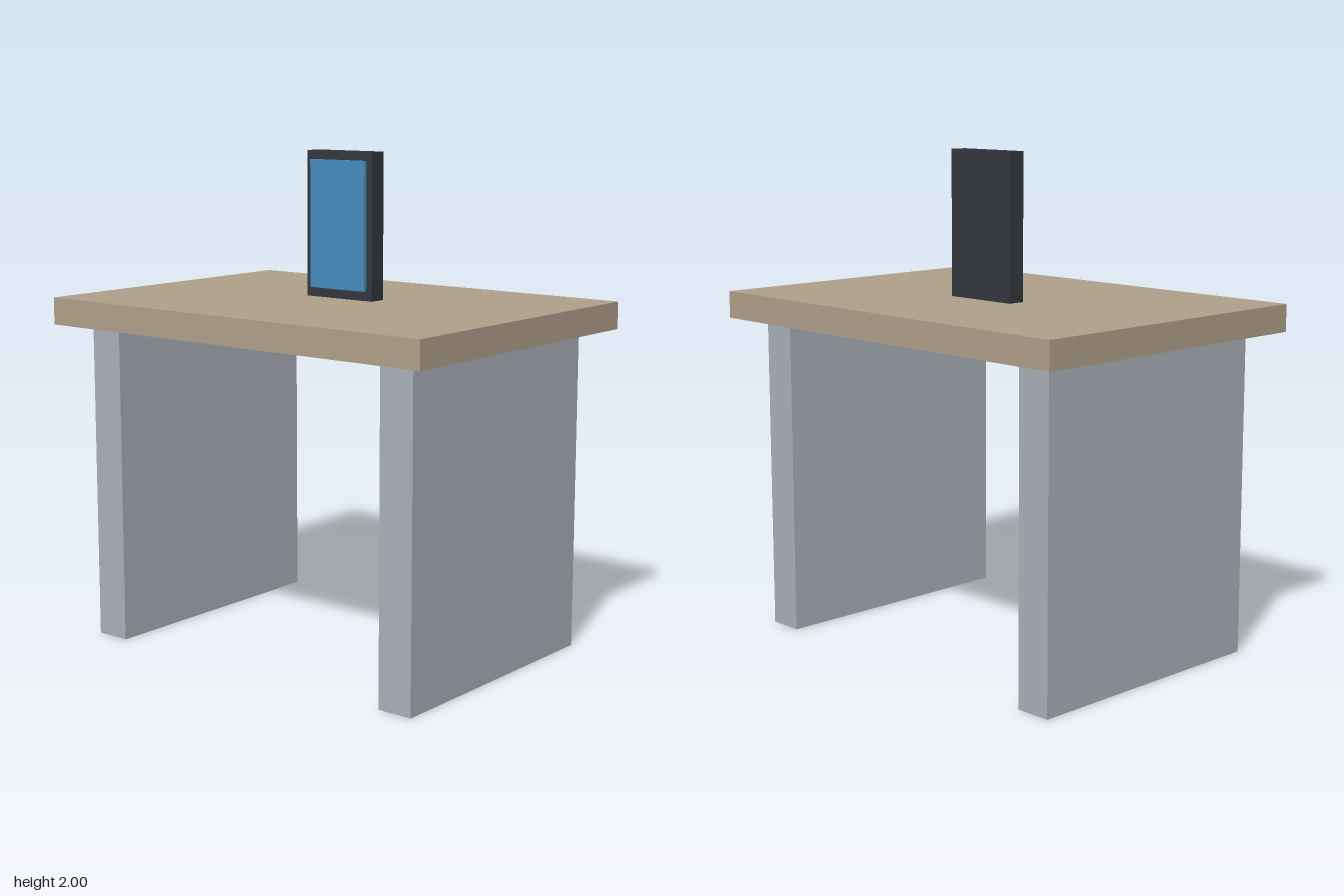
import * as THREE from 'three';

// Box given by size and centre, added to a parent under a part name
function addBox(parent, name, color, [w, h, d], [x, y, z]) {
  const mesh = new THREE.Mesh(
    new THREE.BoxGeometry(w, h, d),
    new THREE.MeshStandardMaterial({ color })
  );
  mesh.name = name;
  mesh.position.set(x, y, z);
  parent.add(mesh);
  return mesh;
}

export function createModel() {
  const model = new THREE.Group();
  model.name = 'deskWithDisplay';

  const legHeight = 1.303, topThickness = 0.11;
  const deskHeight = legHeight + topThickness;

  // Desk: overhanging top on two slab legs
  const desk = new THREE.Group();
  desk.name = 'desk';
  addBox(desk, 'tableTop', 0xb0a08a, [1.835, topThickness, 1.321], [0, legHeight + topThickness / 2, 0]);
  for (const side of [-1, 1]) {
    addBox(desk, side > 0 ? 'leftLeg' : 'rightLeg', 0xabb0ba,
      [0.147, legHeight, 1.1], [side * 0.734, legHeight / 2, 0]);
  }
  model.add(desk);

  // Upright display: dark case with a raised blue screen
  const display = new THREE.Group();
  display.name = 'display';
  const caseHeight = 2 - deskHeight;
  const midY = deskHeight + caseHeight / 2;
  addBox(display, 'displayCase', 0x33383d, [0.33, caseHeight, 0.073], [0, midY, -0.0735]);
  addBox(display, 'screen', 0x458dbe, [0.275, 0.514, 0.018], [0, midY + 0.002, -0.031]);
  model.add(display);

  return model;
}
